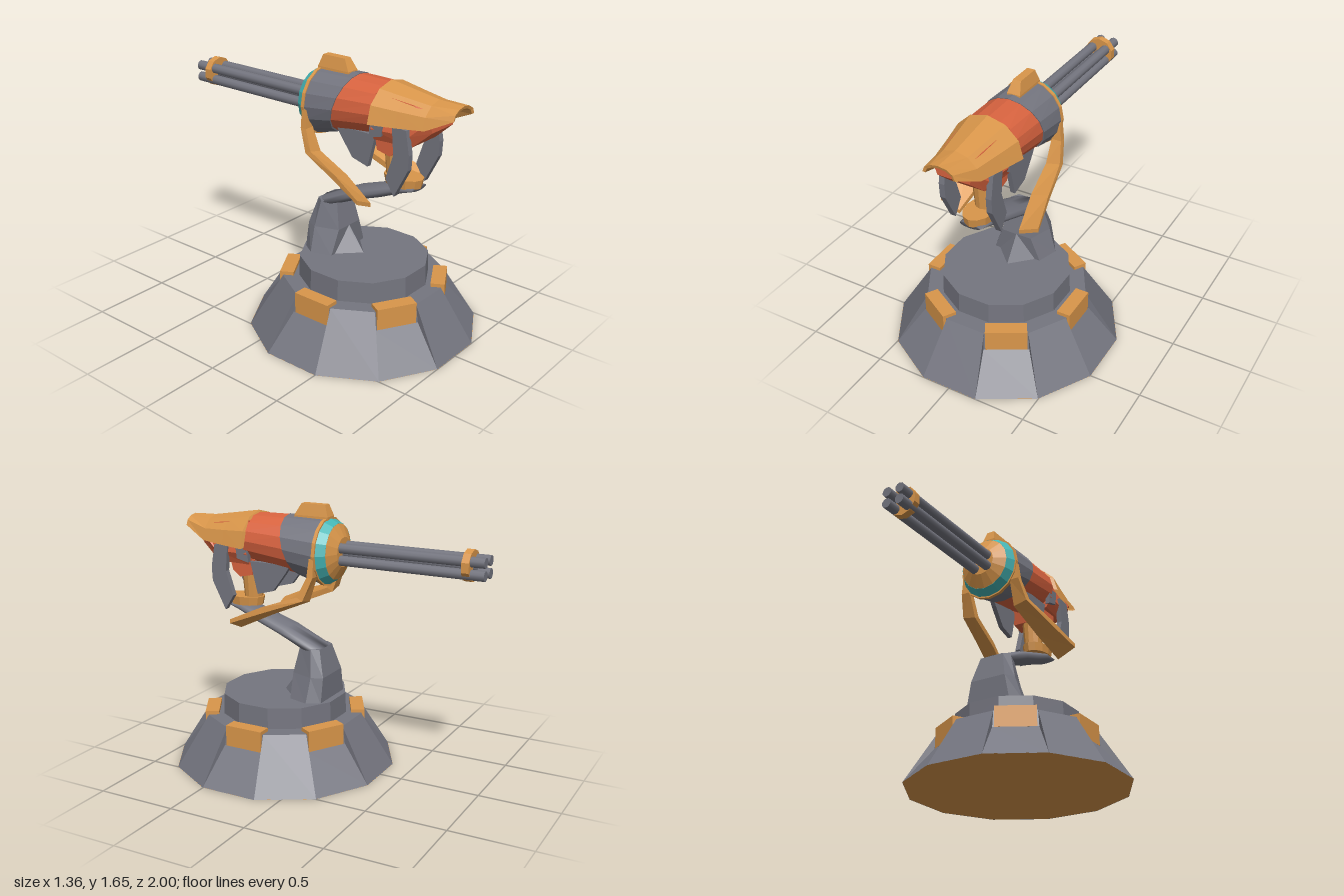
import * as THREE from 'three';

const mat = (name, color) => {
  const m = new THREE.MeshStandardMaterial({ color, side: THREE.DoubleSide });
  m.name = name;
  return m;
};

// Joins cross-sections (loops of [x, y, z]) into a skin
function loft(loops, { closed = true, caps = true, smooth = false } = {}) {
  const n = loops[0].length, index = [];
  for (let i = 0; i + 1 < loops.length; i++)
    for (let j = 0; j < (closed ? n : n - 1); j++) {
      const a = i * n + j, b = i * n + (j + 1) % n;
      index.push(a, b, b + n, a, b + n, a + n);
    }
  if (closed && caps) {
    const e = (loops.length - 1) * n;
    for (let j = 1; j < n - 1; j++) index.push(0, j + 1, j, e, e + j, e + j + 1);
  }
  let g = new THREE.BufferGeometry();
  g.setAttribute('position', new THREE.Float32BufferAttribute(loops.flat(2), 3));
  g.setIndex(index);
  if (!smooth) g = g.toNonIndexed();
  g.computeVertexNormals();
  return g;
}

// Upright oval across z; slant leans its top forward
const oval = (z, cy, rx, ry, slant = 0, n = 16) => Array.from({ length: n }, (_, i) => {
  const a = (i / n) * Math.PI * 2;
  return [rx * Math.sin(a), cy + ry * Math.cos(a), z + slant * Math.cos(a)];
});

// Half-oval arch with its feet at y0
const arch = (z, w, y0, top) => Array.from({ length: 7 }, (_, i) => {
  const a = (i / 6) * Math.PI;
  return [w * Math.cos(a), y0 + (top - y0) * Math.sin(a), z];
});

// Side outline of [z, y] points, given thickness from x0 to x1
const plate = (pts, x0, x1, inset = 0) => {
  const g = new THREE.ExtrudeGeometry(
    new THREE.Shape(pts.map(([z, y]) => new THREE.Vector2(-z, y))),
    { depth: x1 - x0, bevelEnabled: false });
  return g.rotateY(Math.PI / 2).translate(x0, 0, 0);
};

const flat = (g) => {
  const f = g.index ? g.toNonIndexed() : g;
  f.computeVertexNormals();
  return f;
};

export function createModel() {
  const root = new THREE.Group();
  const grey = mat('steel grey', 0x74757f), orange = mat('amber', 0xd9964a);
  const red = mat('rust red', 0xd8633f), teal = mat('teal', 0x45b5b5);
  const add = (name, g, m, x = 0, y = 0, z = 0) => {
    const mesh = new THREE.Mesh(g, m);
    mesh.name = name;
    mesh.position.set(x, y, z);
    root.add(mesh);
    return mesh;
  };
  const mirrored = (name, g, m) => {
    add(name + 'Left', g, m);
    const p = g.clone().scale(-1, 1, 1);
    const idx = p.index ? p.toNonIndexed() : p;
    const a = idx.attributes.position.array;
    for (let i = 0; i < a.length; i += 9)
      for (let k = 0; k < 3; k++) [a[i + k], a[i + 3 + k]] = [a[i + 3 + k], a[i + k]];
    idx.computeVertexNormals();
    add(name + 'Right', idx, m);
  };

  // Base: twelve sloping panels, every second one recessed under a block
  const C = 0.32, T = Math.tan(Math.PI / 12), tri = [];
  for (let k = 0; k < 12; k++) {
    const a = k * Math.PI / 6, c = Math.cos(a), s = Math.sin(a);
    const p = (r, y, side) => [r * c - side * r * T * s, y, r * s + side * r * T * c];
    const b0 = p(0.68, 0, -1), b1 = p(0.68, 0, 1), t0 = p(0.48, 0.328, -1), t1 = p(0.48, 0.328, 1);
    if (k % 2) tri.push(b0, t1, b1, b0, t0, t1);
    else {
      const m0 = p(0.5, 0.22, -1), m1 = p(0.5, 0.22, 1);
      tri.push(b0, m1, b1, b0, m0, m1, b0, t0, m0, b1, m1, t1, m0, t1, m1, m0, t0, t1);
      const block = add('baseBlock', new THREE.BoxGeometry(0.085, 0.13, 0.245), orange,
        0.458 * c, 0.285, C + 0.458 * s);
      block.rotation.y = -a;
    }
  }
  const skirt = new THREE.BufferGeometry();
  skirt.setAttribute('position', new THREE.Float32BufferAttribute(tri.flat(), 3));
  skirt.computeVertexNormals();
  add('baseSkirt', skirt, grey, 0, 0, C);
  const k15 = Math.cos(Math.PI / 12);
  const disc = (r) => new THREE.CircleGeometry(r / k15, 12, Math.PI / 12);
  add('baseLedge', disc(0.48).rotateX(-Math.PI / 2), grey, 0, 0.328, C);
  add('baseUnderside', disc(0.68).rotateX(Math.PI / 2), orange, 0, 0.001, C);
  add('baseDrum', flat(new THREE.CylinderGeometry(0.38 / k15, 0.385 / k15, 0.14, 12, 1, false, Math.PI / 12)),
    grey, 0, 0.388, C);

  // Pedestal with a spur at its front foot
  const post = (y, w, wb, zb, zm, zf, fw) =>
    [[-wb, y, zb], [wb, y, zb], [w, y, zm], [fw, y, zf], [-fw, y, zf], [-w, y, zm]];
  add('pedestal', loft([
    post(0.45, 0.2, 0.15, -0.02, 0.06, 0.19, 0.16), post(0.61, 0.15, 0.12, -0.02, 0.05, 0.2, 0.1),
    post(0.775, 0.11, 0.08, 0.025, 0.07, 0.165, 0.075)]), grey);
  add('pedestalSpur', loft([
    [[-0.14, 0.45, 0.18], [0.14, 0.45, 0.18], [0, 0.45, 0.32]],
    [[-0.01, 0.61, 0.19], [0.01, 0.61, 0.19], [0, 0.61, 0.202]]]), grey);

  // Bent arm: each section runs from its upper/back edge to its lower/front edge
  const armLoop = (w, [z0, y0], [z1, y1]) => Array.from({ length: 12 }, (_, i) => {
    const a = (i / 12) * Math.PI * 2, t = 0.5 - 0.5 * Math.cos(a);
    return [w * Math.sin(a), y0 + (y1 - y0) * t, z0 + (z1 - z0) * t];
  });
  add('arm', loft([
    armLoop(0.11, [0.02, 0.775], [0.165, 0.76]), armLoop(0.105, [0.26, 0.89], [0.32, 0.825]),
    armLoop(0.095, [0.43, 0.95], [0.47, 0.88]), armLoop(0.085, [0.58, 1.0], [0.62, 0.945]),
    armLoop(0.07, [0.69, 1.0], [0.71, 0.98])], { smooth: true }), grey);

  // Collar and neck
  add('collar', flat(new THREE.CylinderGeometry(0.088, 0.08, 0.055, 12).scale(1, 1, 1.45)), orange, 0, 1.015, 0.595);
  add('neck', flat(new THREE.CylinderGeometry(0.07, 0.055, 0.19, 12)), orange, 0, 1.1, 0.54);

  // Body, from rear cap to the front
  add('rearCap', loft([oval(-0.1, 1.38, 0.09, 0.09), oval(-0.06, 1.378, 0.165, 0.17)]), orange);
  add('tealBand', loft([oval(-0.06, 1.378, 0.166, 0.171), oval(-0.005, 1.375, 0.195, 0.2)]), teal);
  add('rearRing', loft([oval(-0.006, 1.375, 0.204, 0.209), oval(0.015, 1.375, 0.204, 0.209)]), orange);
  add('bodyShell', loft([oval(0.01, 1.375, 0.198, 0.204), oval(0.215, 1.398, 0.197, 0.185, 0.055)]), grey);
  add('bodyFront', loft([oval(0.21, 1.4, 0.19, 0.18, 0.055), oval(0.5, 1.425, 0.187, 0.15)]), red);

  // Top sight
  const sight = (y, w, z0, z1) => [[-w, y, z0], [w, y, z0], [w, y, z1], [-w, y, z1]];
  add('topSight', loft([sight(1.54, 0.045, -0.01, 0.22), sight(1.585, 0.042, -0.01, 0.215),
    sight(1.655, 0.025, 0.015, 0.175)]), orange);

  // Hood: an arched shell with an inner skin
  add('hood', loft([
    arch(0.48, 0.2, 1.385, 1.57), arch(0.49, 0.222, 1.38, 1.588), arch(0.65, 0.185, 1.385, 1.562),
    arch(0.81, 0.15, 1.395, 1.537), arch(0.97, 0.1, 1.47, 1.532),
    arch(0.965, 0.085, 1.465, 1.515), arch(0.81, 0.132, 1.39, 1.515), arch(0.49, 0.2, 1.38, 1.565)],
  { closed: false }), orange);

  // Snout under the hood
  const snout = (z, w, y0, y1) => [[-w * 0.8, y0, z], [w * 0.8, y0, z], [w, y0 + 0.07, z],
    [w * 0.75, y1, z], [-w * 0.75, y1, z], [-w, y0 + 0.07, z]];
  add('snout', loft([snout(0.48, 0.175, 1.27, 1.54), snout(0.72, 0.145, 1.27, 1.51),
    snout(0.84, 0.125, 1.375, 1.49)]), red);
  add('throat', plate([[0.46, 1.3], [0.48, 1.2], [0.57, 1.18], [0.62, 1.22], [0.64, 1.3]], -0.11, 0.11), red);

  // Jaw blades, belly fins and cheeks
  mirrored('jawBlade', plate([[0.715, 1.38], [0.62, 1.39], [0.635, 1.22], [0.585, 1.07],
    [0.645, 0.975], [0.735, 1.15], [0.74, 1.24]], 0.132, 0.168), grey);
  mirrored('bellyFin', plate([[0.48, 1.29], [0.2, 1.29], [0.23, 1.24], [0.32, 1.12], [0.43, 1.09]],
    0.1, 0.13), grey);
  mirrored('cheek', plate([[0.56, 1.4], [0.47, 1.4], [0.47, 1.29], [0.55, 1.31]], 0.14, 0.172), grey);

  // Swept side struts: [inner x, inner y, outer x, outer y, z, thickness in y, thickness in z]
  const strut = [
    [0.155, 1.36, 0.2, 1.36, 0, 0, 0.03], [0.15, 1.25, 0.212, 1.25, 0, 0, 0.04],
    [0.145, 1.09, 0.235, 1.11, 0.055, 0.02, 0.04], [0.165, 0.985, 0.28, 1.02, 0.3, 0.035, 0.01],
    [0.2, 0.885, 0.325, 0.94, 0.51, 0.025, 0]];
  mirrored('sideStrut', loft(strut.map(([xi, yi, xo, yo, z, ty, tz]) =>
    [[xi, yi, z], [xo, yo, z], [xo, yo + ty, z + tz], [xi, yi + ty, z + tz]])), orange);

  // Barrel cluster
  const rod = (r, len) => new THREE.CylinderGeometry(r, r, len, 10).rotateX(Math.PI / 2);
  for (const x of [-0.045, 0.045])
    for (const y of [1.336, 1.41]) add('barrel', rod(0.031, 0.93), grey, x, y, -0.535);
  add('barrelCore', rod(0.025, 0.86), grey, 0, 1.373, -0.5);
  add('barrelClamp', flat(rod(0.094, 0.045)), orange, 0, 1.38, -0.893);
  return root;
}
